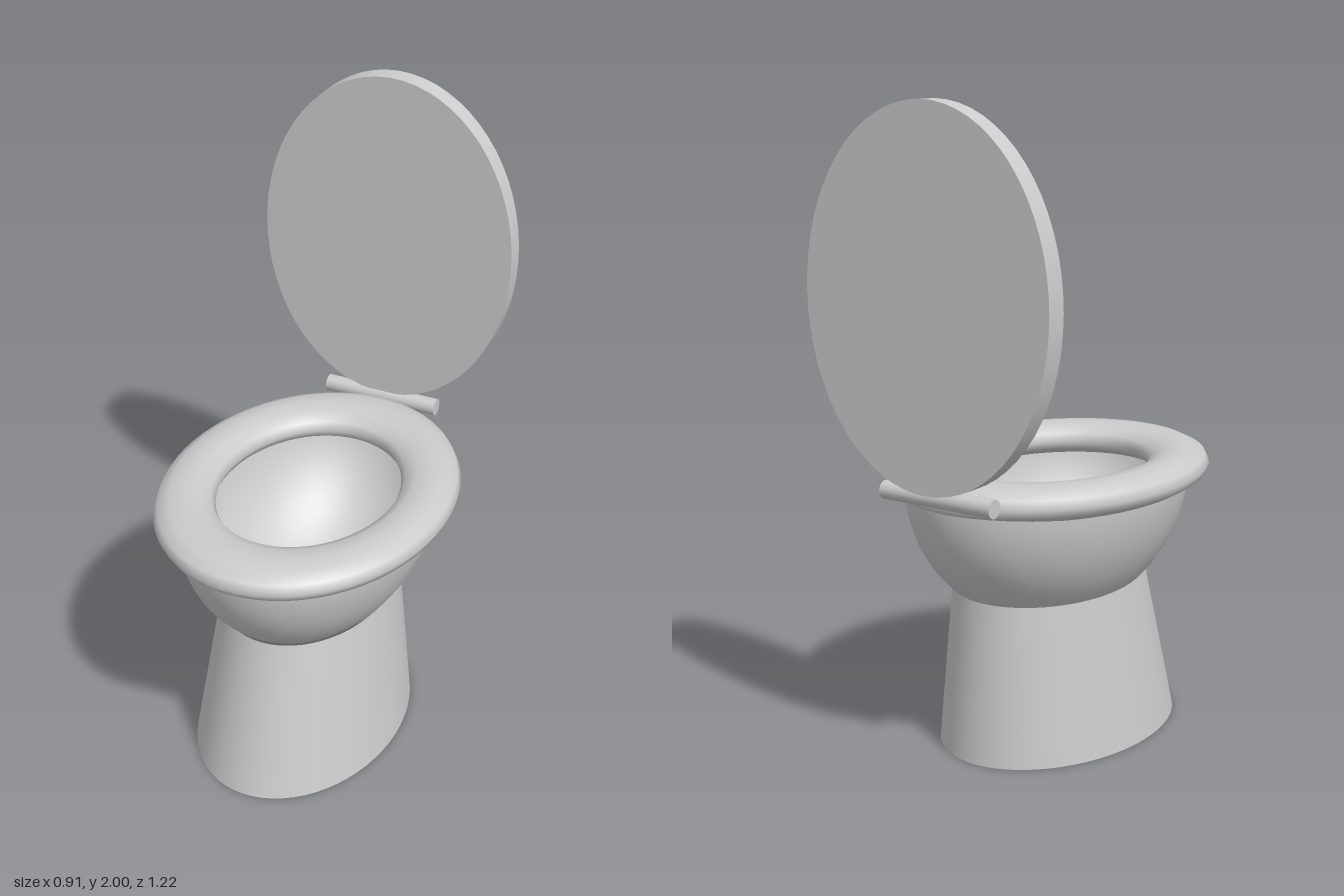
import * as THREE from 'three';

const grey = new THREE.MeshStandardMaterial({ color: 0xcccccc });
const greyThin = new THREE.MeshStandardMaterial({ color: 0xcccccc, side: THREE.DoubleSide });
const SEGMENTS = 64;

export function createModel() {
  const model = new THREE.Group();
  const add = (name, geometry, material = grey) => {
    const mesh = new THREE.Mesh(geometry, material);
    mesh.name = name;
    model.add(mesh);
    return mesh;
  };

  // Pedestal: oval frustum, sheared so its foot reaches forward
  const height = 0.51, footX = 0.329, footZ = 0.463, centreX = 0.007, centreZ = 0.078;
  const shear = new THREE.Matrix4().set(
    footX, 0, 0, centreX,
    0, 1, 0, 0,
    0, -0.1, footZ, centreZ,
    0, 0, 0, 1
  );
  const pedestal = new THREE.CylinderGeometry(0.806, 1, height, SEGMENTS, 1, true);
  pedestal.translate(0, height / 2, 0).applyMatrix4(shear);
  add('pedestal', pedestal);

  // Underside of the pedestal
  const base = new THREE.CircleGeometry(1, SEGMENTS);
  base.rotateX(Math.PI / 2).applyMatrix4(shear);
  add('pedestalBase', base);

  // Bowl: thin lower half of an ellipsoid, its rim hidden in the seat
  const bowl = new THREE.SphereGeometry(1, SEGMENTS, 16, 0, Math.PI * 2, Math.PI / 2, Math.PI / 2);
  bowl.scale(0.391, 0.47, 0.54).translate(0, 0.85, 0.018);
  add('bowl', bowl, greyThin);

  // Seat: flattened oval ring
  const seat = new THREE.TorusGeometry(0.365, 0.09, 12, SEGMENTS);
  seat.rotateX(Math.PI / 2).scale(1, 0.053 / 0.09, 1.27).translate(0, 0.852, 0.03);
  add('seat', seat);

  // Hinge rod behind the seat
  const hinge = new THREE.CylinderGeometry(0.028, 0.028, 0.394, 24);
  hinge.rotateZ(Math.PI / 2).translate(-0.006, 0.876, -0.557);
  add('hinge', hinge);

  // Raised lid: upright oval disc
  const lid = new THREE.CylinderGeometry(1, 1, 0.068, SEGMENTS);
  lid.rotateX(Math.PI / 2).scale(0.424, 0.553, 1).translate(0, 1.447, -0.576);
  add('lid', lid);

  return model;
}
